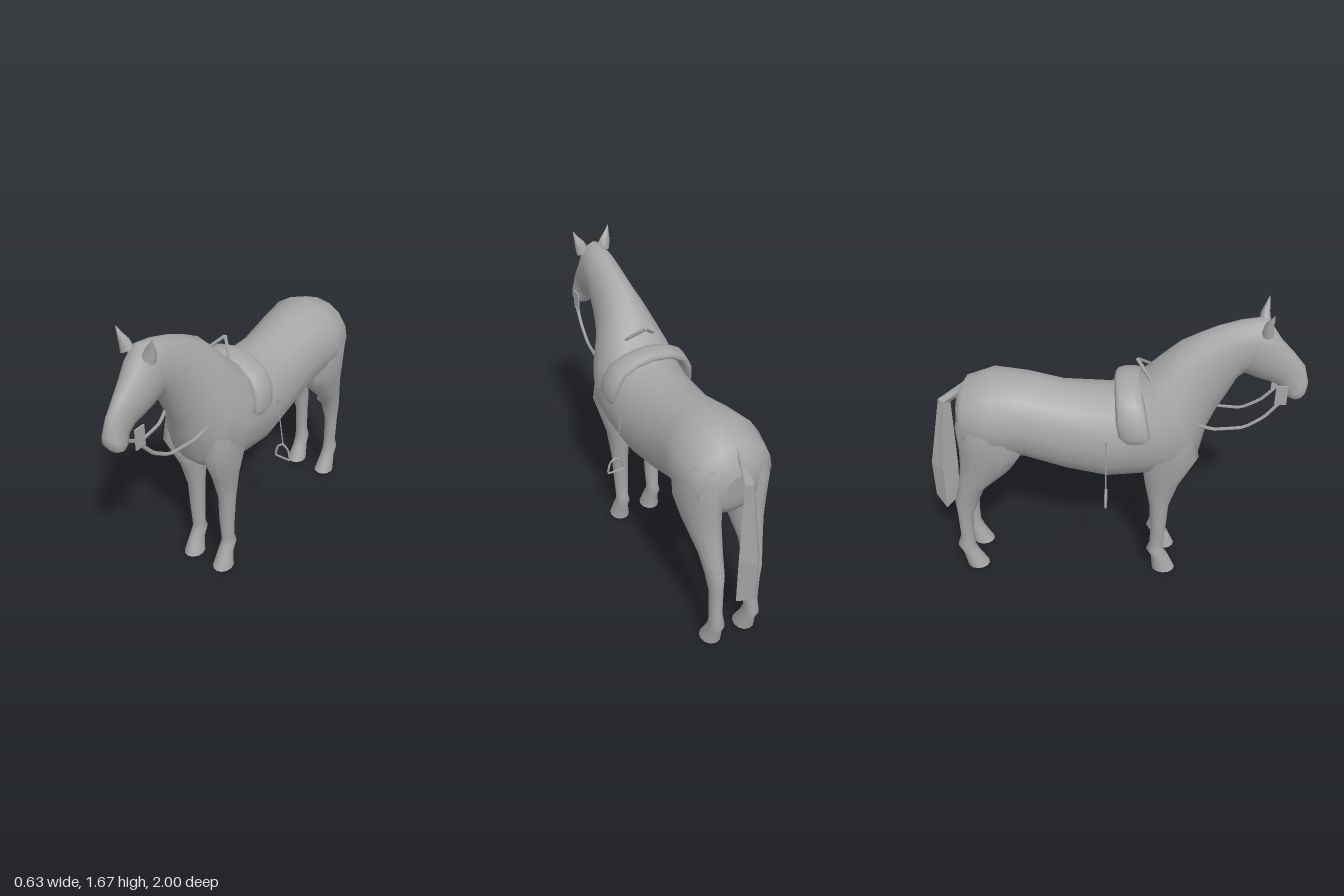
import * as THREE from 'three';

const coat = new THREE.MeshStandardMaterial({ color: 0xa6a6a6 });
coat.name = 'plain grey';

// Skin a closed solid over rings of [x, y, z] points, with capped ends.
function loft(rings, flat = false) {
  const n = rings[0].length, pos = [], idx = [];
  rings.forEach(r => r.forEach(p => pos.push(...p)));
  for (let i = 0; i < rings.length - 1; i++) {
    for (let j = 0; j < n; j++) {
      const k = (j + 1) % n, a = i * n + j, b = i * n + k;
      idx.push(a, b, a + n, b, b + n, a + n);
    }
  }
  const cap = (ring, first) => {
    const base = pos.length / 3;
    ring.forEach(p => pos.push(...p));
    for (let j = 1; j < n - 1; j++) {
      idx.push(base, base + (first ? j + 1 : j), base + (first ? j : j + 1));
    }
  };
  cap(rings[0], true);
  cap(rings[rings.length - 1], false);
  // Turn the faces outward if the enclosed volume is negative.
  const v = i => new THREE.Vector3().fromArray(pos, i * 3);
  let volume = 0;
  for (let i = 0; i < idx.length; i += 3) {
    volume += v(idx[i]).dot(v(idx[i + 1]).cross(v(idx[i + 2])));
  }
  if (volume < 0) idx.reverse();
  let g = new THREE.BufferGeometry();
  g.setAttribute('position', new THREE.Float32BufferAttribute(pos, 3));
  g.setIndex(idx);
  if (flat) g = g.toNonIndexed();
  g.computeVertexNormals();
  return g;
}

// Closed ring of n points from a function of the angle.
const ring = (n, f) => Array.from({ length: n }, (_, j) => {
  const a = (j / n) * Math.PI * 2;
  return f(Math.cos(a), Math.sin(a));
});

// Upright ring spanning a top and a bottom point on the centre plane.
const spineRing = ([zt, yt, zb, yb, w]) => ring(16, (c, s) => [
  s * w, (yt + yb) / 2 + c * (yt - yb) / 2, (zt + zb) / 2 + c * (zt - zb) / 2,
]);

// Level ring of a leg: height, front z, back z, centre x, half width.
const legRing = side => ([y, zf, zb, x, w]) => ring(12, (c, s) => [
  side * (x + s * w), y, (zf + zb) / 2 + c * (zf - zb) / 2,
]);

const tube = (pts, radius, closed = false) => new THREE.TubeGeometry(
  new THREE.CatmullRomCurve3(pts.map(p => new THREE.Vector3(...p)), closed, 'catmullrom', 0.1),
  pts.length * 4, radius, 4, closed);

export function createModel() {
  const model = new THREE.Group();
  model.name = 'saddledHorse';
  const add = (name, geometry) => {
    const mesh = new THREE.Mesh(geometry, coat);
    mesh.name = name;
    model.add(mesh);
    return mesh;
  };

  // Rump, barrel, chest, neck and head: top z, top y, bottom z, bottom y, half width
  add('bodyNeckAndHead', loft([
    [-0.815, 1.08, -0.80, 0.94, 0.07],
    [-0.80, 1.14, -0.795, 0.88, 0.13],
    [-0.757, 1.21, -0.76, 0.82, 0.205],
    [-0.607, 1.263, -0.62, 0.79, 0.24],
    [-0.435, 1.246, -0.457, 0.775, 0.215],
    [-0.25, 1.203, -0.23, 0.69, 0.208],
    [0, 1.19, -0.02, 0.653, 0.23],
    [0.12, 1.235, 0.18, 0.675, 0.237],
    [0.19, 1.30, 0.36, 0.70, 0.235],
    [0.255, 1.37, 0.47, 0.81, 0.20],
    [0.345, 1.455, 0.50, 0.97, 0.15],
    [0.44, 1.508, 0.54, 1.07, 0.12],
    [0.53, 1.55, 0.585, 1.16, 0.105],
    [0.64, 1.583, 0.635, 1.27, 0.095],
    [0.745, 1.60, 0.665, 1.297, 0.09],
    [0.795, 1.55, 0.73, 1.27, 0.088],
    [0.84, 1.485, 0.79, 1.25, 0.076],
    [0.91, 1.41, 0.835, 1.23, 0.056],
    [0.972, 1.335, 0.865, 1.20, 0.047],
    [1.0, 1.24, 0.885, 1.165, 0.057],
    [0.995, 1.195, 0.915, 1.15, 0.056],
    [0.975, 1.162, 0.945, 1.15, 0.03],
  ].map(spineRing)));

  // Saddle pad draped over the back: x, y, middle z, half length, half thickness
  const drape = [
    [0.222, 0.99, 0.13, 0.05, 0.01], [0.228, 1.03, 0.125, 0.08, 0.024],
    [0.215, 1.11, 0.11, 0.08, 0.028], [0.175, 1.18, 0.10, 0.075, 0.028],
    [0.10, 1.222, 0.09, 0.07, 0.026],
  ];
  const path = [
    ...drape, [0, 1.24, 0.085, 0.07, 0.026],
    ...drape.map(([x, ...rest]) => [-x, ...rest]).reverse(),
  ];
  add('saddle', loft(path.map(([x, y, z, l, t], i) => {
    const a = path[Math.max(i - 1, 0)], b = path[Math.min(i + 1, path.length - 1)];
    const d = new THREE.Vector2(b[0] - a[0], b[1] - a[1]).normalize();
    return ring(10, (c, s) => [x + d.y * s * t, y - d.x * s * t, z + c * l]);
  })));

  // Tail: dock leaving the rump, then a diamond-section fall of hair
  const tailRing = (zf, yf, zb, yb, w, drop = 0) => {
    const y = (yf + yb) / 2 - drop, z = (zf + zb) / 2;
    return [[0, yf, zf], [w, y, z], [0, yb, zb], [-w, y, z]];
  };
  add('tail', loft([
    tailRing(-0.76, 1.14, -0.755, 1.21, 0.01),
    tailRing(-0.845, 1.075, -0.91, 1.09, 0.025),
    tailRing(-0.85, 0.66, -0.997, 0.66, 0.06),
    tailRing(-0.865, 0.43, -0.997, 0.43, 0.063, 0.043),
  ], true));

  // Paired parts
  for (const [label, s] of [['left', 1], ['right', -1]]) {
    add(label + 'FrontLeg', loft([
      [1.0, 0.43, 0.18, 0.13, 0.07],
      [0.84, 0.465, 0.16, 0.125, 0.09],
      [0.64, 0.37, 0.185, 0.107, 0.06],
      [0.48, 0.32, 0.215, 0.105, 0.048],
      [0.30, 0.31, 0.225, 0.102, 0.042],
      [0.19, 0.30, 0.222, 0.102, 0.036],
      [0.145, 0.30, 0.205, 0.102, 0.04],
      [0.09, 0.333, 0.235, 0.102, 0.042],
      [0, 0.372, 0.24, 0.102, 0.056],
    ].map(legRing(s))));

    add(label + 'HindLeg', loft([
      [1.12, -0.50, -0.78, 0.12, 0.08],
      [1.0, -0.45, -0.81, 0.125, 0.107],
      [0.85, -0.46, -0.803, 0.125, 0.10],
      [0.74, -0.53, -0.81, 0.12, 0.085],
      [0.59, -0.69, -0.835, 0.115, 0.058],
      [0.48, -0.735, -0.866, 0.11, 0.045],
      [0.38, -0.775, -0.862, 0.108, 0.036],
      [0.22, -0.785, -0.862, 0.106, 0.034],
      [0.15, -0.785, -0.885, 0.105, 0.04],
      [0.095, -0.765, -0.86, 0.103, 0.041],
      [0, -0.715, -0.842, 0.103, 0.056],
    ].map(legRing(s))));

    // Ear: x, y, z, half width, half depth
    add(label + 'Ear', loft([
      [0.062, 1.55, 0.755, 0.034, 0.03], [0.078, 1.595, 0.755, 0.026, 0.022],
      [0.092, 1.63, 0.765, 0.012, 0.012], [0.104, 1.666, 0.772, 0.001, 0.001],
    ].map(([x, y, z, w, d]) => ring(8, (c, t) => [s * (x + c * w), y - c * w * 0.5, z + t * d]))));

    // Bridle cheek plate and rein
    add(label + 'BitPlate', new THREE.BoxGeometry(0.008, 0.11, 0.06))
      .position.set(s * 0.073, 1.2, 0.86);
    add(label + 'Rein', tube([
      [0.073, 1.16, 0.86], [0.08, 1.07, 0.785], [0.09, 1.01, 0.687], [0.112, 1.01, 0.527],
      [0.15, 1.085, 0.38], [0.13, 1.23, 0.25], [0, 1.36, 0.13],
    ].map(([x, y, z]) => [s * x, y, z]), 0.01));

    // Stirrup strap and iron
    add(label + 'StirrupStrap', tube([
      [s * 0.222, 0.99, -0.02], [s * 0.265, 0.715, -0.02],
    ], 0.004));
    add(label + 'StirrupIron', tube([
      [0.266, 0.717, -0.02], [0.298, 0.695, -0.02], [0.312, 0.63, -0.02],
      [0.22, 0.63, -0.02], [0.234, 0.695, -0.02],
    ].map(([x, y, z]) => [s * x, y, z]), 0.007, true));
  }
  return model;
}
